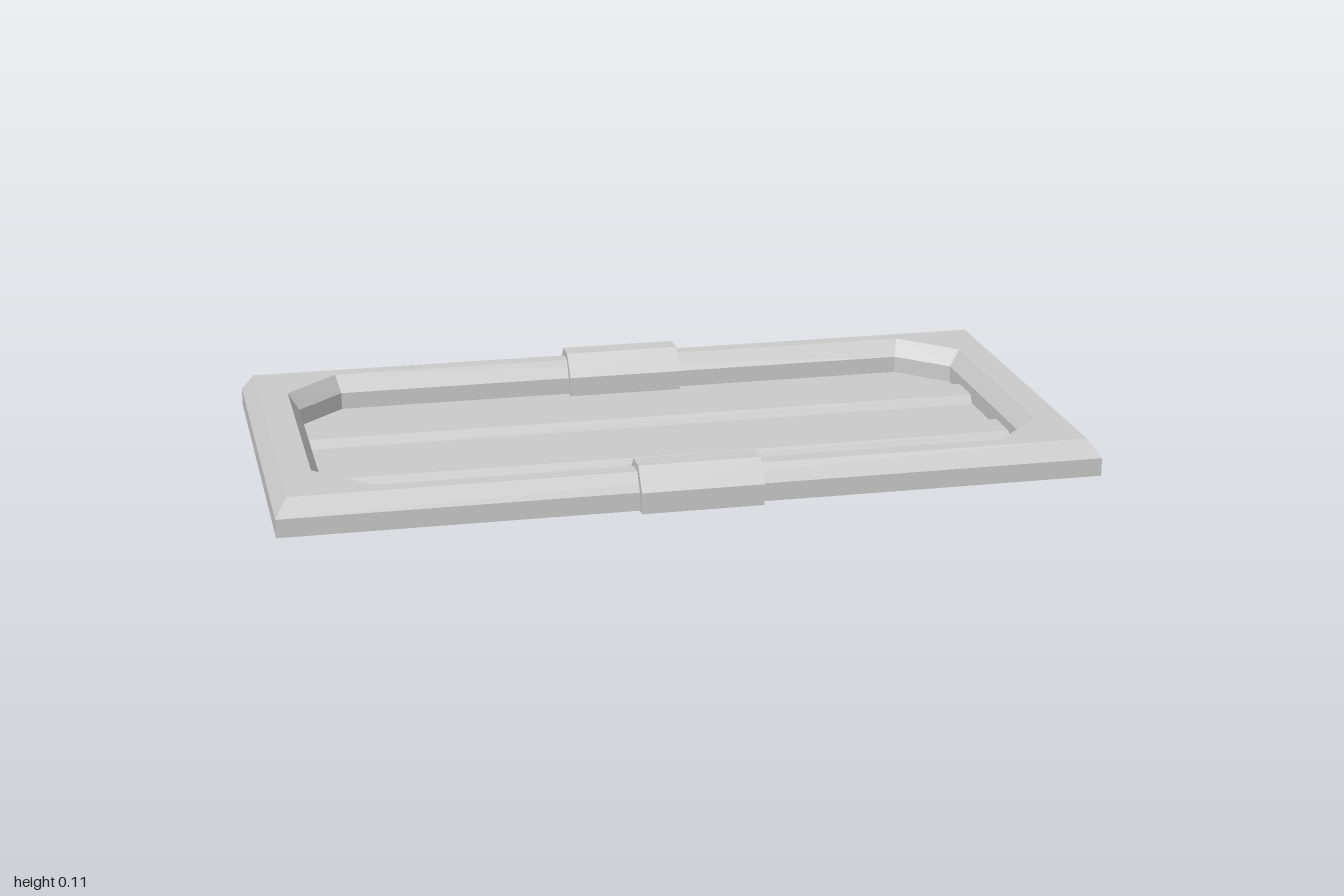
import * as THREE from 'three';

const material = new THREE.MeshStandardMaterial({ color: 0xcccccc, flatShading: true, side: THREE.DoubleSide });

function part(name, geometry, parent) {
  const mesh = new THREE.Mesh(geometry, material);
  mesh.name = name;
  parent.add(mesh);
  return mesh;
}

// Corner loops in the ground plane, as [x, z]
const rectangle = (x, z) => [[x, z], [x, -z], [-x, -z], [-x, z]];
const octagon = (x, z, cx, cz) => [
  [x, cz], [x, -cz], [cx, -z], [-cx, -z], [-x, -cz], [-x, cz], [-cx, z], [cx, z],
];

// Joins loops of equal length, each at its own height, into a band of flat faces
function band(sections, inward) {
  const points = [];
  for (let s = 0; s < sections.length - 1; s++) {
    const [low, high] = [sections[s], sections[s + 1]];
    const n = low.loop.length;
    for (let i = 0; i < n; i++) {
      const j = (i + 1) % n;
      const a = [low.loop[i][0], low.y, low.loop[i][1]];
      const b = [low.loop[j][0], low.y, low.loop[j][1]];
      const c = [high.loop[j][0], high.y, high.loop[j][1]];
      const d = [high.loop[i][0], high.y, high.loop[i][1]];
      points.push(...(inward ? [a, c, b, a, d, c] : [a, b, c, a, c, d]).flat());
    }
  }
  const geometry = new THREE.BufferGeometry();
  geometry.setAttribute('position', new THREE.Float32BufferAttribute(points, 3));
  geometry.computeVertexNormals();
  return geometry;
}

// Flat plate facing up, optionally with a hole
function plate(loop, y, hole) {
  const toPoints = (l) => l.map(([x, z]) => new THREE.Vector2(x, -z));
  const shape = new THREE.Shape(toPoints(loop));
  if (hole) shape.holes.push(new THREE.Path(toPoints(hole)));
  return new THREE.ShapeGeometry(shape).rotateX(-Math.PI / 2).translate(0, y, 0);
}

// Extrudes a [z, y] profile along x, centred
function alongX(profile, length) {
  const shape = new THREE.Shape(profile.map(([z, y]) => new THREE.Vector2(-z, y)));
  return new THREE.ExtrudeGeometry(shape, { depth: length, bevelEnabled: false })
    .translate(0, 0, -length / 2)
    .rotateY(Math.PI / 2);
}

export function createModel() {
  const model = new THREE.Group();
  model.name = 'framedPanel';

  const top = 0.088, shoulder = 0.045;
  const outer = rectangle(1, 0.5);
  const outerTop = rectangle(0.97, 0.472);
  const opening = octagon(0.897, 0.432, 0.762, 0.3);
  const recess = octagon(0.87, 0.405, 0.75, 0.29);

  // Hollow frame: outer wall with bevel, top face, bevelled recess wall
  const frame = new THREE.Group();
  frame.name = 'frame';
  model.add(frame);
  part('outerWall', band([
    { loop: outer, y: 0 }, { loop: outer, y: shoulder }, { loop: outerTop, y: top },
  ], false), frame);
  part('frameTop', plate(outerTop, top, opening), frame);
  part('recessWall', band([
    { loop: recess, y: 0 }, { loop: recess, y: shoulder }, { loop: opening, y: top },
  ], true), frame);

  // Recessed floor with two raised slats
  part('floor', plate(recess, 0.002), model);
  for (const z of [-0.155, 0.147]) {
    part('slat', alongX([
      [0.06, 0.002], [0.047, 0.024], [-0.047, 0.024], [-0.06, 0.002],
    ], 1.736), model).position.z = z;
  }

  // Clips wrapped over the middle of both long sides
  const clip = [
    [0.525, 0], [0.525, 0.052], [0.482, 0.106], [0.427, 0.106], [0.382, 0.052], [0.382, 0],
    [0.405, 0], [0.405, shoulder], [0.432, top], [0.472, top], [0.5, shoulder], [0.5, 0],
  ];
  part('frontClip', alongX(clip, 0.296), model);
  part('backClip', alongX(clip, 0.296), model).rotation.y = Math.PI;

  return model;
}
